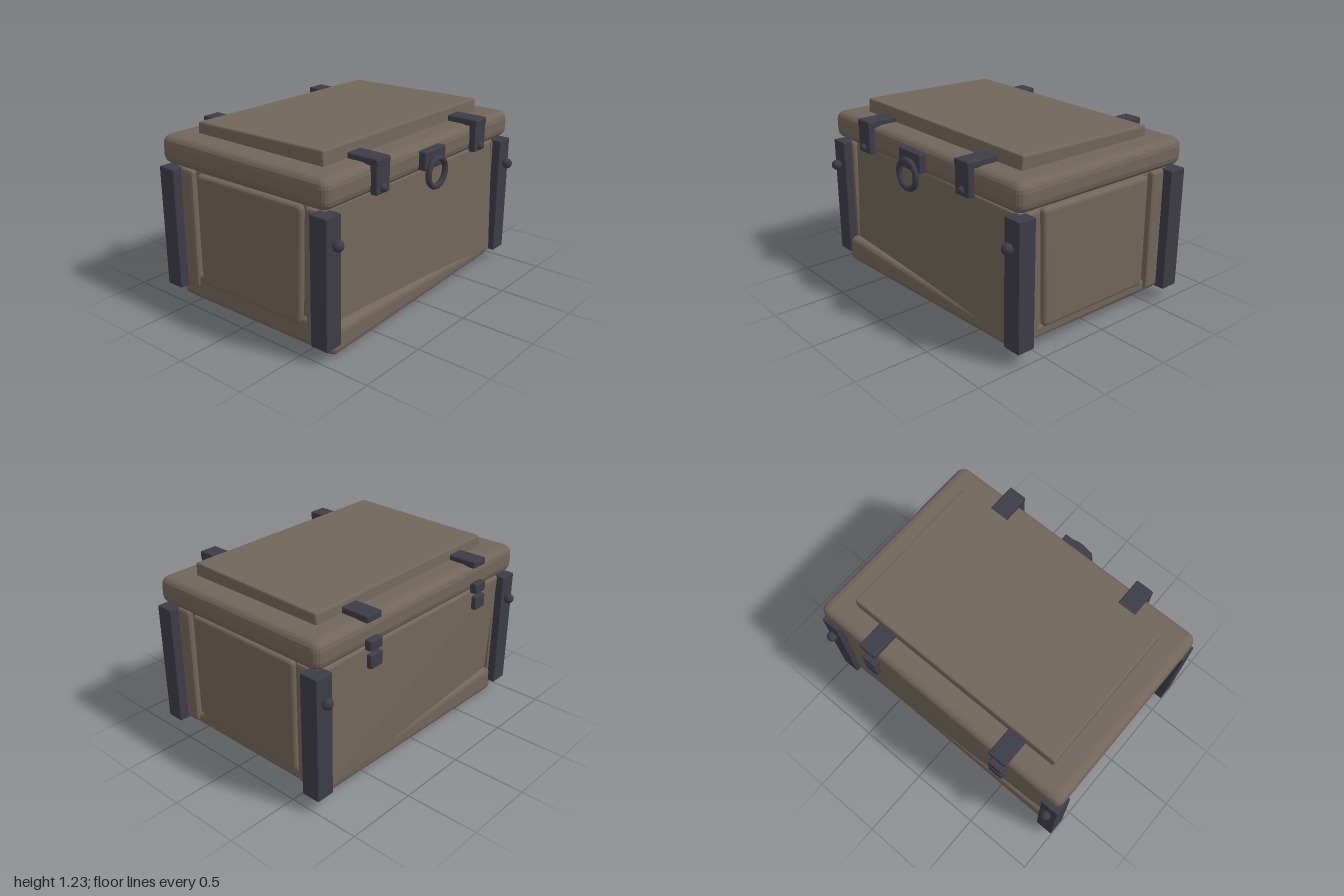
import * as THREE from 'three';
import { RoundedBoxGeometry } from 'three/addons/geometries/RoundedBoxGeometry.js';

export function createModel() {
  const root = new THREE.Group();
  root.name = 'chest';
  const wood = new THREE.MeshStandardMaterial({ color: 0x72665a });
  wood.name = 'brown wood';
  const iron = new THREE.MeshStandardMaterial({ color: 0x3d3c47 });
  iron.name = 'dark iron';

  const add = (name, geometry, material, x = 0, y = 0, z = 0) => {
    const mesh = new THREE.Mesh(geometry, material);
    mesh.name = name;
    mesh.position.set(x, y, z);
    root.add(mesh);
  };

  // Bevelled box between two corners, optionally bent by a rule, with flat facets
  const block = (name, material, [x0, x1], [y0, y1], [z0, z1], r, seg = 1, warp = null) => {
    const g = new RoundedBoxGeometry(x1 - x0, y1 - y0, z1 - z0, seg, r);
    g.translate((x0 + x1) / 2, (y0 + y1) / 2, (z0 + z1) / 2);
    if (warp) {
      const p = g.attributes.position;
      const v = new THREE.Vector3();
      for (let i = 0; i < p.count; i++) {
        v.fromBufferAttribute(p, i);
        warp(v);
        p.setXYZ(i, v.x, v.y, v.z);
      }
    }
    g.computeVertexNormals();
    add(name, g, material);
  };

  // Uneven base, sloping up towards the model's left
  block('base', wood, [-0.92, 0.89], [0.02, 0.19], [-0.665, 0.69], 0.045, 2, (v) => {
    const low = v.y < 0.1;
    v.y += low ? 0.022 * (v.x + 0.35) + 0.008 * v.z : -0.035 * v.x - 0.015;
    if (v.z > 0) v.z -= 0.018 * (v.x + 0.9);
  });

  // Main body: the front leans back towards the top, more so on the model's right
  block('body', wood, [-0.895, 0.895], [0.09, 0.93], [-0.665, 0.665], 0.015, 1, (v) => {
    const up = (v.y - 0.09) / 0.84;
    const across = (v.x + 0.9) / 1.8;
    if (v.z > 0) v.z -= 0.03 * (1 - across) + 0.03 * up;
    else v.z += (1 - up) * (0.035 - 0.05 * across);
  });

  // Side boards: a wide panel and two stiles with grooves between them
  for (const s of [-1, 1]) {
    const xs = (a, b) => (s > 0 ? [a, b] : [-b, -a]);
    block('sidePanel', wood, xs(0.85, 0.93), [0.14, 0.922], [-0.455, 0.45], 0.03, 2, (v) => {
      if (v.z > 0) v.z -= 0.03 * (0.92 - v.y) - 0.005;
      else if (v.y > 0.5) v.y -= 0.008;
    });
    for (const t of [-1, 1]) {
      const zs = t > 0 ? [0.48, 0.645] : [-0.66, -0.48];
      block('sideStile', wood, xs(0.85, 0.935), [0.1, 0.93], zs, 0.02);
    }
    block('sideRail', wood, xs(0.85, 0.91), [0.08, 0.16], [-0.64, 0.64], 0.02);
  }

  // Lid and its tilted top board
  block('lid', wood, [-0.99, 0.985], [0.95, 1.14], [-0.705, 0.695], 0.06, 2, (v) => {
    if (v.y > 1.04) v.y -= 0.004 * v.x;
  });
  block('lidBoard', wood, [-0.81, 0.81], [1.1, 1.222], [-0.54, 0.525], 0.012, 1, (v) => {
    if (v.y > 1.16) {
      v.y += -0.008 * v.x + 0.018 * v.z;
      v.z *= 0.985;
    }
  });

  // Corner posts with round studs
  const stud = new THREE.SphereGeometry(0.036, 12, 8);
  for (const s of [-1, 1]) for (const t of [-1, 1]) {
    const xs = s > 0 ? [0.87, 1] : [-1, -0.87];
    const zs = t > 0 ? [0.58, 0.705] : [-0.715, -0.585];
    block('cornerPost', iron, xs, [0.093, 0.93], zs, 0.006);
    add('postStud', stud, iron, s * 0.933, 0.76, t * 0.735);
  }

  // Lid straps in front, short straps and hinge plates behind
  const rivet = new THREE.SphereGeometry(0.028, 12, 8);
  for (const s of [-1, 1]) {
    const c = s * 0.53;
    const wide = [c - 0.065, c + 0.065];
    const narrow = [c - 0.055, c + 0.055];
    block('frontStrapTop', iron, wide, [1.13, 1.176], [0.48, 0.742], 0.008);
    block('frontStrapDrop', iron, wide, [0.955, 1.17], [0.69, 0.738], 0.008);
    add('strapRivet', rivet, iron, c, 0.99, 0.737);
    block('backStrap', iron, wide, [1.13, 1.176], [-0.73, -0.48], 0.008);
    block('hingeUpper', iron, narrow, [0.95, 1.02], [-0.752, -0.7], 0.01);
    block('hingeLower', iron, narrow, [0.835, 0.93], [-0.755, -0.718], 0.01);
  }

  // Latch plate and pull ring
  block('latchPlate', iron, [-0.113, 0.113], [0.975, 1.1], [0.67, 0.742], 0.01);
  add('pullRing', new THREE.TorusGeometry(0.092, 0.02, 8, 28), iron, 0, 0.948, 0.755);

  return root;
}
